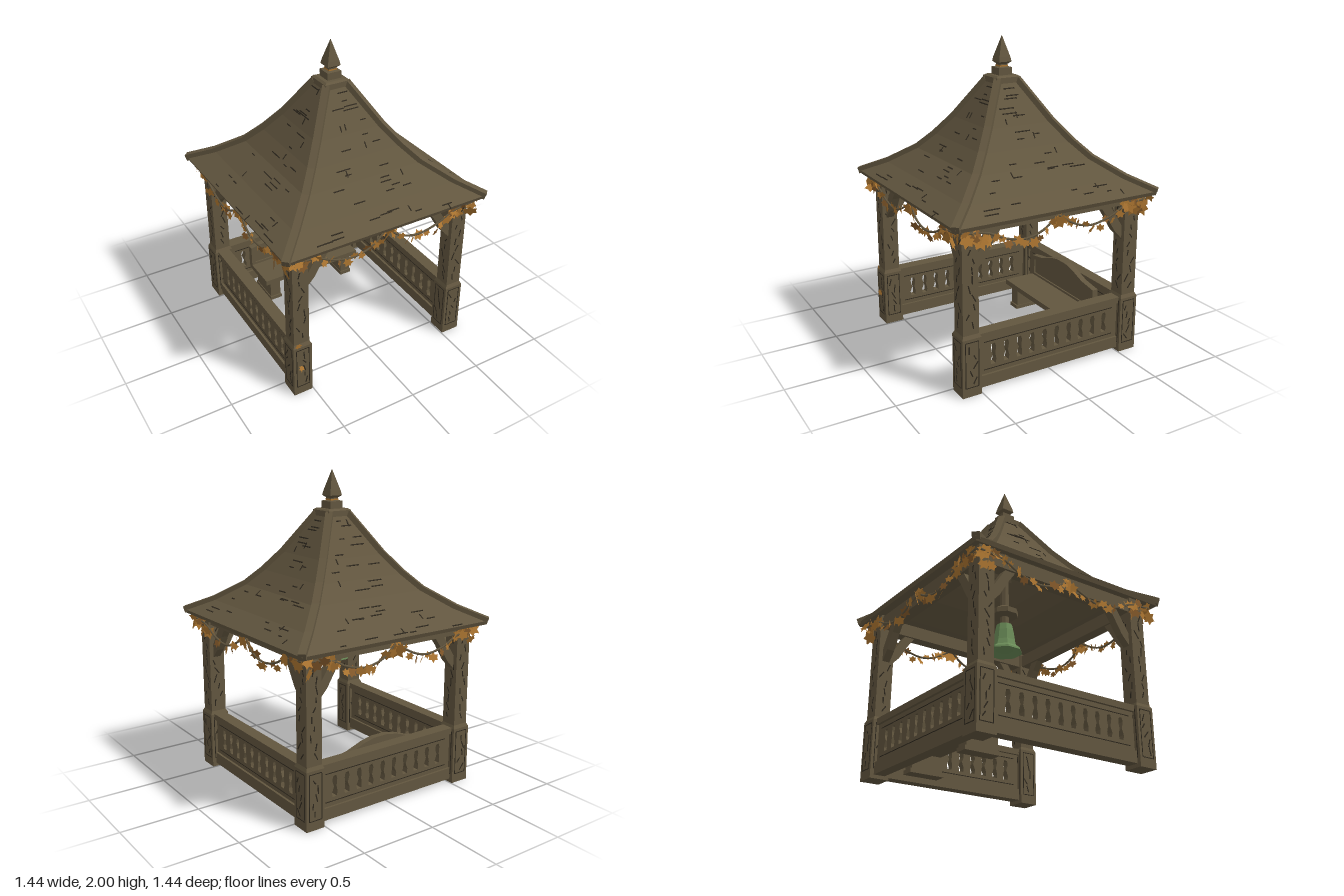
import * as THREE from 'three';

const mat = (name, color, side = THREE.FrontSide) => {
  const m = new THREE.MeshStandardMaterial({ color, side });
  m.name = name;
  return m;
};
const wood = mat('weathered wood', 0x62563f);
const groove = mat('dark groove', 0x2e281e);
const green = mat('bell green', 0x6b8c58);
const orange = mat('autumn leaf', 0xad7631, THREE.DoubleSide);
const brownLeaf = mat('dry leaf', 0x84592a, THREE.DoubleSide);

let seed = 7;
const rand = (a = 0, b = 1) => {
  seed = (seed * 16807) % 2147483647;
  return a + (b - a) * seed / 2147483647;
};

const add = (parent, name, geo, material, x = 0, y = 0, z = 0) => {
  const m = new THREE.Mesh(geo, material);
  m.name = name;
  m.position.set(x, y, z);
  parent.add(m);
  return m;
};
const box = (parent, name, material, w, h, d, x, y, z) =>
  add(parent, name, new THREE.BoxGeometry(w, h, d), material, x, y, z);

const flat = (geo) => {
  const g = geo.index ? geo.toNonIndexed() : geo;
  g.computeVertexNormals();
  return g;
};
// Square-plan solid from [half width, y] pairs
const square = (pts) => flat(new THREE.LatheGeometry(
  pts.map(([h, y]) => new THREE.Vector2(h * Math.SQRT2, y)), 4, Math.PI / 4));
// Eight-sided turned solid from [radius, y] pairs
const turned = (pts) => flat(new THREE.LatheGeometry(
  pts.map(([r, y]) => new THREE.Vector2(r, y)), 8, Math.PI / 8));
// Flat outline with holes, extruded and centred on z
const slab = (pts, depth, holes = []) => {
  const s = new THREE.Shape(pts.map(p => new THREE.Vector2(...p)));
  s.holes = holes.map(h => new THREE.Path(h.map(p => new THREE.Vector2(...p))));
  return new THREE.ExtrudeGeometry(s, { depth, bevelEnabled: false }).translate(0, 0, -depth / 2);
};
// A group turned to face each of the four sides
const onSide = (parent, name, k) => {
  const g = new THREE.Group();
  g.name = name;
  g.rotation.y = k * Math.PI / 2;
  parent.add(g);
  return g;
};

const roofLine = [[0.7, 1.075], [0.56, 1.15], [0.41, 1.26], [0.32, 1.36], [0.23, 1.48], [0.075, 1.73]];
const POST = 0.569;

function buildRoof(root) {
  const under = roofLine.map(([h, y]) => [h - 0.01, y - 0.025]).reverse();
  add(root, 'roof', square([[0, 1.71], ...under, ...roofLine, [0, 1.73]]), wood);
  // Ridge strips on the four hips
  const outer = roofLine.map(([h, y]) => [h * Math.SQRT2 + 0.004, y + 0.02]);
  const inner = roofLine.map(([h, y]) => [h * Math.SQRT2 - 0.01, y - 0.02]).reverse();
  const ridge = slab([...inner, ...outer], 0.045);
  for (let k = 0; k < 4; k++) add(root, 'roofRidge', ridge, wood).rotation.y = Math.PI / 4 + k * Math.PI / 2;
  // Shingle cracks
  for (let k = 0; k < 4; k++) {
    const side = onSide(root, 'roofCracks', k);
    for (let i = 0; i < 34; i++) {
      const s = [0, 0, 1, 1, 2, 3, 4, 4][i % 8], t = rand(0.08, 0.92);
      const [h0, y0] = roofLine[s], [h1, y1] = roofLine[s + 1];
      const h = h0 + (h1 - h0) * t, y = y0 + (y1 - y0) * t;
      const upright = i % 5 === 0;
      const len = upright ? 0.006 : rand(0.03, 0.11);
      const c = box(side, 'crack', groove, len, upright ? 0.04 : 0.007, 0.006,
        rand(-0.8, 0.8) * Math.max(h - 0.06, 0.02), y, h);
      c.rotation.x = Math.atan2(h1 - h0, y1 - y0);
    }
  }
  // Cap and spire
  add(root, 'roofCap', square([[0, 1.715], [0.085, 1.715], [0.085, 1.75], [0.07, 1.76], [0, 1.76]]), wood);
  add(root, 'finial', square([[0.047, 1.755], [0.047, 1.805], [0.026, 1.81], [0.026, 1.825],
    [0.044, 1.84], [0.038, 1.87], [0, 2]]), wood);
  add(root, 'finialRing', square([[0.029, 1.81], [0.029, 1.819]]), orange);
}

function buildPost(root, sx, sz) {
  const post = new THREE.Group();
  post.name = 'cornerPost';
  post.position.set(sx * POST, 0, sz * POST);
  root.add(post);
  add(post, 'postBody', square([[0, 0], [0.063, 0], [0.063, 0.37], [0.052, 0.392], [0.052, 1.09]]), wood);
  for (let k = 0; k < 4; k++) {
    const face = onSide(post, 'postCarving', k);
    // Framed panel on the base block
    for (const s of [-1, 1]) {
      box(face, 'frameSide', groove, 0.005, 0.29, 0.003, s * 0.043, 0.205, 0.063);
      box(face, 'frameEnd', groove, 0.086, 0.005, 0.003, 0, 0.205 + s * 0.145, 0.063);
    }
    // Wandering carved strokes
    for (let i = 0; i < 15; i++) {
      const low = i < 5;
      const y = low ? 0.1 + i * 0.05 : 0.45 + (i - 5) * 0.056;
      box(face, 'stroke', groove, 0.007, rand(0.03, 0.06), 0.004,
        rand(-0.025, 0.025), y, low ? 0.063 : 0.052).rotation.z = rand(-0.7, 0.7);
    }
  }
}

function buildRailing(root, k) {
  const side = onSide(root, 'railing', k);
  const holes = [];
  for (let i = 0; i < 10; i++) {
    const x = -0.405 + i * 0.09, lean = rand(-0.006, 0.006);
    holes.push([[x - 0.016, 0.15], [x + 0.016, 0.15], [x + 0.02, 0.18], [x + 0.009 + lean, 0.215],
      [x + 0.018, 0.26], [x + 0.01, 0.285], [x - 0.012, 0.28], [x - 0.018, 0.25],
      [x - 0.009 + lean, 0.215], [x - 0.02, 0.175]]);
  }
  add(side, 'railingPanel', slab([[-0.52, 0.03], [0.52, 0.03], [0.52, 0.36], [-0.52, 0.36]], 0.045, holes),
    wood, 0, 0, POST);
  box(side, 'topRail', wood, 1.04, 0.04, 0.08, 0, 0.355, POST);
  box(side, 'bottomRail', wood, 1.04, 0.075, 0.075, 0, 0.06, POST);
  // Grooves framing the balusters
  for (const f of [-1, 1]) for (const y of [0.125, 0.305])
    box(side, 'railGroove', groove, 0.94, 0.005, 0.003, 0, y, POST + f * 0.0225);
}

function buildBench(root) {
  const bench = new THREE.Group();
  bench.name = 'bench';
  root.add(bench);
  const arch = (w, base, drop) => [[-w, base], [w, base], [w, 0.335 - drop], [0.24, 0.355 - drop],
    [0.13, 0.395 - drop], [0.05, 0.412 - drop], [-0.05, 0.412 - drop], [-0.13, 0.395 - drop],
    [-0.24, 0.355 - drop], [-w, 0.335 - drop]];
  add(bench, 'benchBack', slab(arch(0.37, 0.17, 0), 0.04, [arch(0.345, 0.205, 0.025)]), wood, 0, 0, -0.5);
  add(bench, 'benchBackPanel', slab(arch(0.35, 0.18, 0.02), 0.02), wood, 0, 0, -0.5);
  box(bench, 'benchSeat', wood, 0.74, 0.035, 0.26, 0, 0.172, -0.385);
  box(bench, 'benchApron', wood, 0.62, 0.04, 0.18, 0, 0.14, -0.385);
  for (const s of [-1, 1]) {
    box(bench, 'benchLeg', wood, 0.075, 0.15, 0.21, s * 0.29, 0.075, -0.385);
    box(bench, 'benchFoot', wood, 0.085, 0.025, 0.23, s * 0.29, 0.0125, -0.385);
  }
}

const leafGeo = new THREE.ShapeGeometry(new THREE.Shape([[0, 0.45], [0.16, 0.2], [0.45, 0.22], [0.36, -0.02],
  [0.42, -0.28], [0.15, -0.28], [0, -0.55], [-0.15, -0.28], [-0.42, -0.28], [-0.36, -0.02], [-0.45, 0.22],
  [-0.16, 0.2]].map(p => new THREE.Vector2(...p))));

function leaf(parent, size, x, y, z, i) {
  const m = add(parent, 'leaf', leafGeo, i % 4 === 3 ? brownLeaf : orange, x, y, z);
  m.scale.setScalar(size);
  m.rotation.set(rand(-0.5, 0.5), rand(-0.7, 0.7), rand(-0.9, 0.9));
}

function buildGarland(root, k) {
  const side = onSide(root, 'leafGarland', k);
  for (const s of [-1, 1]) {
    // Vine draped from corner to middle
    const path = new THREE.CatmullRomCurve3([[0, 1.03, 0.64], [0.1, 0.965, 0.66], [0.22, 0.93, 0.66],
      [0.36, 0.955, 0.66], [0.48, 1.01, 0.66], [0.64, 1.03, 0.66]]
      .map(([x, y, z]) => new THREE.Vector3(s * x, y, z)));
    add(side, 'vine', new THREE.TubeGeometry(path, 16, 0.007, 5), wood);
    for (let i = 0; i < 13; i++) {
      const p = path.getPoint((i + 0.4) / 13);
      leaf(side, rand(0.05, 0.08), p.x, p.y + rand(-0.035, 0.015), p.z + rand(-0.01, 0.02), i);
    }
    // Corner cluster
    for (let i = 0; i < 7; i++)
      leaf(side, rand(0.07, 0.1), s * rand(0.46, 0.65), rand(0.95, 1.04), 0.66 + rand(-0.02, 0.02), i);
  }
  leaf(side, 0.11, 0, 0.99, 0.655, 0);
}

export function createModel() {
  const root = new THREE.Group();
  root.name = 'gazebo';
  buildRoof(root);
  for (const sx of [-1, 1]) for (const sz of [-1, 1]) buildPost(root, sx, sz);
  // Railings on three sides, open at the front
  for (const k of [1, 2, 3]) buildRailing(root, k);
  buildBench(root);

  // Eave beams, curved braces and leaves
  for (let k = 0; k < 4; k++) {
    const side = onSide(root, 'eaveFrame', k);
    box(side, 'eaveBeam', wood, 1.1, 0.085, 0.08, 0, 1.035, POST);
    for (const s of [-1, 1]) {
      const b = add(side, 'brace', slab([[0.525, 0.76], [0.525, 0.84], [0.48, 0.91], [0.42, 1.0],
        [0.35, 1.0], [0.4, 0.93], [0.46, 0.83]], 0.05), wood, 0, 0, POST);
      if (s < 0) b.rotation.y = Math.PI, b.position.z = POST;
    }
    buildGarland(root, k);
  }
  // Stray leaves caught on a post
  leaf(root, 0.045, -0.6, 0.39, 0.635, 0);
  leaf(root, 0.05, -0.58, 0.21, 0.637, 1);

  // Hanging bell
  add(root, 'bell', turned([[0, 0.83], [0.06, 0.81], [0.1, 0.79], [0.115, 0.795], [0.112, 0.808], [0.085, 0.83],
    [0.072, 0.87], [0.062, 0.94], [0.052, 0.985], [0, 1.0]]), green);
  add(root, 'bellHanger', turned([[0, 0.98], [0.03, 0.98], [0.03, 1.04], [0.09, 1.05], [0.09, 1.085],
    [0.03, 1.12], [0.022, 1.7]]), wood);
  return root;
}
